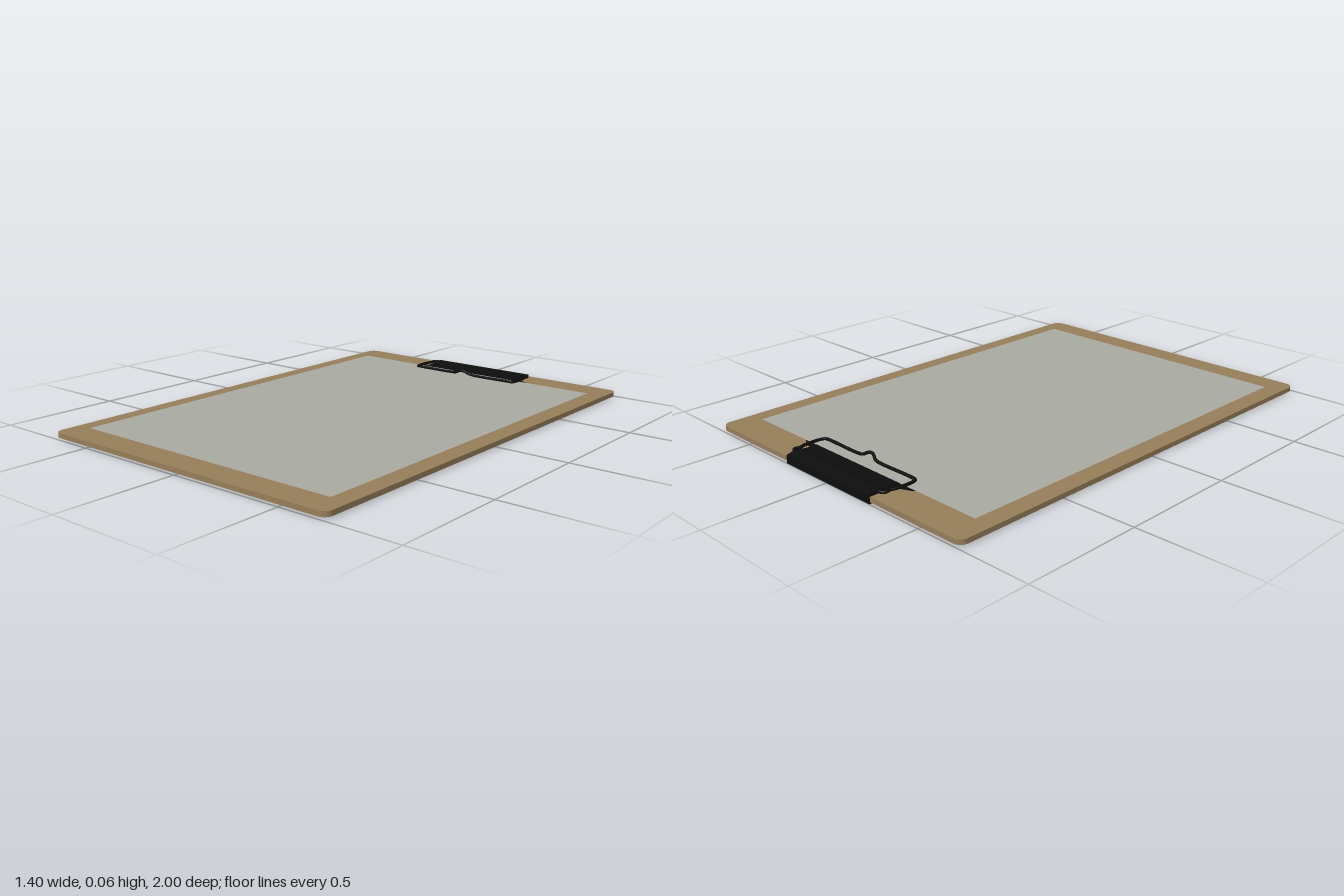
import * as THREE from 'three';

const material = (name, color, extra = {}) => {
  const m = new THREE.MeshStandardMaterial({ color, ...extra });
  m.name = name;
  return m;
};

// Extrude an outline drawn in (x, -z) upwards from the given height
function plate(shape, bottom, depth) {
  const g = new THREE.ExtrudeGeometry(shape, { depth, bevelEnabled: false, curveSegments: 6 });
  g.rotateX(-Math.PI / 2);
  g.translate(0, bottom, 0);
  return g;
}

function roundedRect(w, h, r) {
  const s = new THREE.Shape();
  s.absarc(w - r, h - r, r, 0, Math.PI / 2);
  s.absarc(-w + r, h - r, r, Math.PI / 2, Math.PI);
  s.absarc(-w + r, -h + r, r, Math.PI, Math.PI * 1.5);
  s.absarc(w - r, -h + r, r, Math.PI * 1.5, Math.PI * 2);
  s.closePath();
  return s;
}

export function createModel() {
  const wood = material('brown hardboard', 0x98805a);
  const sheet = material('grey paper', 0xabaca2, { side: THREE.DoubleSide });
  const metal = material('black metal', 0x0d0d0d);

  const model = new THREE.Group();
  model.name = 'clipboard';
  const add = (name, geometry, mat, parent = model) => {
    const mesh = new THREE.Mesh(geometry, mat);
    mesh.name = name;
    parent.add(mesh);
    return mesh;
  };

  // Board with rounded corners
  add('board', plate(roundedRect(0.7, 0.996, 0.035), 0.007, 0.02), wood);

  // Sheet of paper lying over the jaw
  const paper = new THREE.PlaneGeometry(1.25, 1.745);
  paper.rotateX(-Math.PI / 2);
  paper.translate(0, 0.0305, 0.0125);
  add('paper', paper, sheet);

  // Clip: two matching jaws that widen into wings
  const clip = new THREE.Group();
  clip.name = 'clip';
  model.add(clip);
  const half = [[0.245, 1], [0.245, 0.89], [0.275, 0.882], [0.32, 0.862], [0.32, 0.74]];
  const outline = [...half, ...half.map(([x, y]) => [-x, y]).reverse()];
  const jaw = new THREE.Shape(outline.map(([x, y]) => new THREE.Vector2(x, y)));
  add('lowerJaw', plate(jaw, 0, 0.006), metal, clip);
  add('upperJaw', plate(jaw, 0.027, 0.0025), metal, clip);

  // Spine and raised cover, a side profile in (-z, y) swept across x
  const profile = new THREE.Shape([
    [1, 0], [1, 0.034], [0.985, 0.038], [0.965, 0.042], [0.945, 0.042],
    [0.925, 0.037], [0.862, 0.033], [0.862, 0.028], [0.996, 0.028], [0.996, 0],
  ].map(([z, y]) => new THREE.Vector2(z, y)));
  const cover = new THREE.ExtrudeGeometry(profile, { depth: 0.49, bevelEnabled: false });
  cover.rotateY(Math.PI / 2);
  cover.translate(-0.245, 0, 0);
  add('spineCover', cover, metal, clip);

  // Wire lever, mirrored about the raised thumb bump
  const side = [
    [0.235, 0.036, -0.958], [0.262, 0.036, -0.955], [0.269, 0.036, -0.942],
    [0.265, 0.036, -0.925], [0.272, 0.036, -0.9], [0.273, 0.036, -0.825],
    [0.266, 0.036, -0.81], [0.25, 0.037, -0.807], [0.06, 0.037, -0.807],
    [0.035, 0.041, -0.805], [0.018, 0.05, -0.797],
  ];
  const points = [...side, [0, 0.054, -0.794], ...side.map(([x, y, z]) => [-x, y, z]).reverse()];
  const path = new THREE.CatmullRomCurve3(
    points.map((p) => new THREE.Vector3(...p)), false, 'centripetal');
  add('wireLever', new THREE.TubeGeometry(path, 160, 0.0065, 8, false), metal, clip);

  return model;
}
